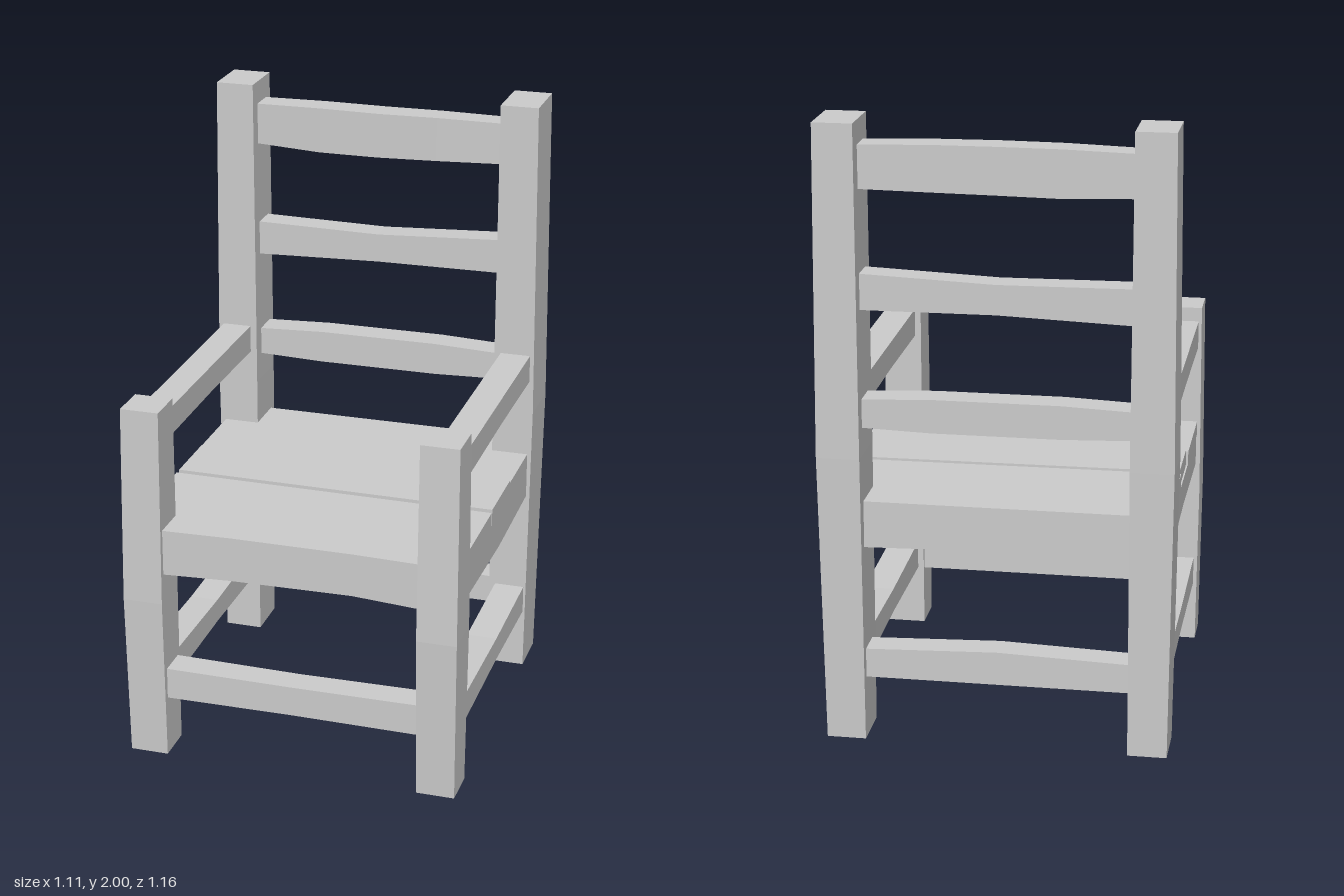
import * as THREE from 'three';

const material = new THREE.MeshStandardMaterial({ color: 0xcccccc, flatShading: true });

// Hewn timber along one axis; each station is [position, uMin, uMax, vMin, vMax],
// where u and v are the other two axes in x, y, z order.
function timber(name, axis, stations) {
  const segs = [1, 1, 1];
  segs[axis] = stations.length - 1;
  const geo = new THREE.BoxGeometry(1, 1, 1, ...segs);
  const [u, v] = [0, 1, 2].filter((a) => a !== axis);
  const pos = geo.attributes.position;
  for (let i = 0; i < pos.count; i++) {
    const p = [pos.getX(i), pos.getY(i), pos.getZ(i)];
    const s = stations[Math.round((p[axis] + 0.5) * (stations.length - 1))];
    const q = [0, 0, 0];
    q[axis] = s[0];
    q[u] = p[u] < 0 ? s[1] : s[2];
    q[v] = p[v] < 0 ? s[3] : s[4];
    pos.setXYZ(i, ...q);
  }
  geo.computeVertexNormals();
  const mesh = new THREE.Mesh(geo, material);
  mesh.name = name;
  return mesh;
}

export function createModel() {
  const chair = new THREE.Group();
  chair.name = 'armchair';
  const add = (...args) => chair.add(timber(...args));
  const X = 0, Y = 1, Z = 2;

  // Posts, slightly bulging on their outer faces
  add('frontLeftPost', Y, [[0, 0.42, 0.545, 0.425, 0.555], [0.55, 0.42, 0.55, 0.425, 0.578], [1.2, 0.42, 0.545, 0.425, 0.56]]);
  add('frontRightPost', Y, [[0, -0.545, -0.42, 0.425, 0.555], [0.55, -0.55, -0.42, 0.425, 0.568], [1.2, -0.545, -0.42, 0.425, 0.555]]);
  add('backLeftPost', Y, [[0, 0.42, 0.545, -0.555, -0.39], [0.95, 0.418, 0.555, -0.578, -0.385], [2, 0.42, 0.545, -0.573, -0.38]]);
  add('backRightPost', Y, [[0, -0.545, -0.42, -0.55, -0.39], [0.95, -0.555, -0.418, -0.565, -0.385], [2, -0.545, -0.42, -0.56, -0.385]]);

  // Back slats
  add('topSlat', X, [[-0.44, 1.79, 1.925, -0.52, -0.432], [-0.2, 1.78, 1.93, -0.512, -0.418],
    [0, 1.782, 1.93, -0.507, -0.41], [0.2, 1.785, 1.93, -0.51, -0.418], [0.44, 1.79, 1.925, -0.517, -0.432]]);
  add('middleSlat', X, [[-0.44, 1.4, 1.515, -0.525, -0.435], [0, 1.415, 1.51, -0.52, -0.43], [0.44, 1.415, 1.53, -0.525, -0.435]]);
  add('lowerSlat', X, [[-0.44, 1.04, 1.13, -0.53, -0.435], [-0.2, 1.032, 1.14, -0.53, -0.435],
    [0.2, 1.032, 1.14, -0.53, -0.435], [0.44, 1.04, 1.13, -0.53, -0.435]]);

  // Seat frame and lower stretchers
  add('frontSeatRail', X, [[-0.44, 0.645, 0.798, 0.44, 0.548], [-0.2, 0.65, 0.798, 0.44, 0.538],
    [0.2, 0.655, 0.798, 0.44, 0.538], [0.44, 0.645, 0.798, 0.44, 0.548]]);
  add('backSeatRail', X, [[-0.44, 0.645, 0.75, -0.53, -0.435], [0, 0.655, 0.75, -0.53, -0.435], [0.44, 0.645, 0.75, -0.53, -0.435]]);
  add('frontStretcher', X, [[-0.44, 0.2, 0.305, 0.44, 0.54], [0, 0.2, 0.3, 0.44, 0.535], [0.44, 0.2, 0.305, 0.44, 0.54]]);
  add('backStretcher', X, [[-0.44, 0.205, 0.3, -0.53, -0.435], [0, 0.205, 0.315, -0.53, -0.435], [0.44, 0.205, 0.3, -0.53, -0.435]]);

  // Side rails, stretchers and arms
  for (const side of [1, -1]) {
    const label = side > 0 ? 'left' : 'right';
    const bar = (name, rows) => add(label + name, Z,
      rows.map(([z, y0, y1]) => [z, side > 0 ? 0.44 : -0.535, side > 0 ? 0.54 : -0.44, y0, y1]));
    bar('Stretcher', [[-0.42, 0.205, 0.3], [0, 0.213, 0.292], [0.45, 0.205, 0.3]]);
    bar('SeatRail', [[-0.42, 0.645, 0.75], [0, side > 0 ? 0.63 : 0.657, 0.75], [0.45, 0.645, 0.75]]);
    bar('Arm', [[-0.42, 1.06, 1.153], [0, 1.065, 1.153], [0.45, 1.06, 1.153]]);
  }

  // Seat planks with slightly skewed joints, the middle one standing proud
  add('backPlank', X, [[-0.535, 0.75, 0.798, -0.53, -0.12], [0.54, 0.75, 0.798, -0.53, -0.133]]);
  add('middlePlank', X, [[-0.53, 0.75, 0.806, -0.122, 0.096], [0.54, 0.75, 0.806, -0.135, 0.106]]);
  add('frontPlank', X, [[-0.537, 0.75, 0.798, 0.102, 0.5], [0.54, 0.75, 0.798, 0.113, 0.5]]);

  return chair;
}
